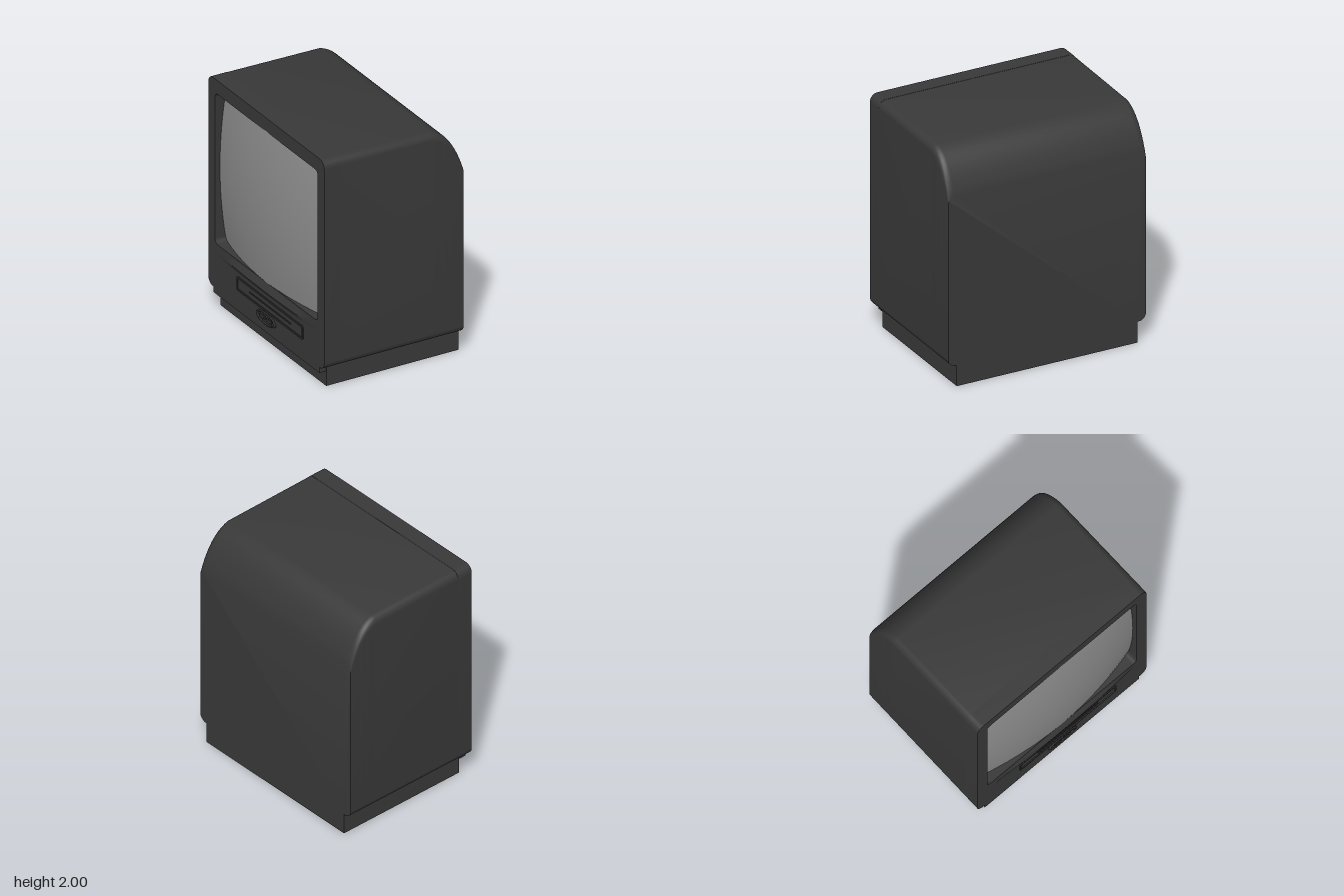
import * as THREE from 'three';
import { toCreasedNormals } from 'three/addons/utils/BufferGeometryUtils.js';

const FRONT = -0.605, BACK = 0.655, HALF = 0.875, BOTTOM = 0.18;
const dark = new THREE.MeshStandardMaterial({ color: 0x383838, side: THREE.DoubleSide });
const trim = new THREE.MeshStandardMaterial({ color: 0x303030 });
const glass = new THREE.MeshStandardMaterial({ color: 0x8c8c8c });

// rounded rectangle outline, used for shapes and holes
function roundRect(target, x0, x1, y0, y1, r) {
  target.absarc(x1 - r, y0 + r, r, -Math.PI / 2, 0);
  target.absarc(x1 - r, y1 - r, r, 0, Math.PI / 2);
  target.absarc(x0 + r, y1 - r, r, Math.PI / 2, Math.PI);
  target.absarc(x0 + r, y0 + r, r, Math.PI, Math.PI * 1.5);
  target.closePath();
  return target;
}

// extrude a shape drawn on the screen side, going inward along +x
function panel(shape, x, depth) {
  const g = new THREE.ExtrudeGeometry(shape, { depth, bevelEnabled: false, curveSegments: 6 });
  g.rotateY(Math.PI / 2).translate(x, 0, 0);
  return toCreasedNormals(g, 0.6);
}

// rows of equally many [x, y, z] points joined into a skin; the last row is capped
function loft(rows, cap) {
  const n = rows[0].length, pos = rows.flat(2), idx = [];
  for (let i = 0; i < rows.length - 1; i++) {
    for (let j = 0; j < n; j++) {
      const a = i * n + j, b = i * n + (j + 1) % n;
      idx.push(a, b, a + n, b, b + n, a + n);
    }
  }
  const last = (rows.length - 1) * n;
  if (cap) for (let j = 1; j < n - 1; j++) idx.push(last, last + j, last + j + 1);
  const g = new THREE.BufferGeometry();
  g.setAttribute('position', new THREE.Float32BufferAttribute(pos, 3));
  g.setIndex(idx);
  return toCreasedNormals(g, 0.6);
}

export function createModel() {
  const group = new THREE.Group();
  const add = (name, geo, mat = dark) => {
    const m = new THREE.Mesh(geo, mat);
    m.name = name;
    group.add(m);
    return m;
  };
  const box = (name, x0, x1, y0, y1, z0, z1, mat) =>
    add(name, new THREE.BoxGeometry(x1 - x0, y1 - y0, z1 - z0)
      .translate((x0 + x1) / 2, (y0 + y1) / 2, (z0 + z1) / 2), mat);

  // cabinet: rounded sections whose top drops in a curve at the rear
  const slope = new THREE.QuadraticBezierCurve(
    new THREE.Vector2(0.38, 1.986), new THREE.Vector2(0.56, 1.94), new THREE.Vector2(BACK, 1.64));
  const tops = [new THREE.Vector2(-0.47, 1.998), ...slope.getPoints(10)];
  const sections = tops.map(({ x, y }) => {
    const s = roundRect(new THREE.Shape(), -HALF, HALF, BOTTOM, y, 0.065);
    const pts = s.getPoints(6);
    if (pts[0].distanceTo(pts[pts.length - 1]) < 1e-6) pts.pop();
    return pts.map(p => [x, p.y, -p.x]);
  });
  add('cabinet', loft(sections, true));

  // front bezel with the screen opening
  const bezel = roundRect(new THREE.Shape(), -HALF, HALF, BOTTOM, 2, 0.065);
  bezel.holes.push(roundRect(new THREE.Path(), -0.775, 0.775, 0.57, 1.88, 0.04));
  add('bezel', panel(bezel, FRONT, 0.14));

  // bulging picture tube
  const screen = new THREE.PlaneGeometry(1.57, 1.33, 12, 12);
  const p = screen.attributes.position;
  for (let i = 0; i < p.count; i++) {
    const u = p.getX(i), v = p.getY(i);
    p.setZ(i, 0.662 - 0.17 * u * u - 0.13 * v * v);
  }
  screen.rotateY(-Math.PI / 2).translate(0, 1.225, 0);
  screen.computeVertexNormals();
  add('screen', screen, glass);

  // bowed ridge below the screen
  const ridge = [];
  for (let i = 0; i <= 16; i++) {
    const z = -0.76 + 1.52 * i / 16, out = 0.026 * (1 - (z / 0.76) ** 2);
    ridge.push([[FRONT + 0.005, 0.568, z], [FRONT - out, 0.5, z], [FRONT + 0.005, 0.45, z]]);
  }
  add('ridge', loft(ridge, false));

  // cassette door: raised frame around a flap with a grip line
  const frame = roundRect(new THREE.Shape(), -0.5, 0.5, 0.31, 0.43, 0.02);
  frame.holes.push(roundRect(new THREE.Path(), -0.485, 0.485, 0.325, 0.415, 0.012));
  add('cassetteFrame', panel(frame, FRONT - 0.008, 0.012), trim).position.z = 0.06;
  box('cassetteGrip', FRONT - 0.006, FRONT + 0.01, 0.365, 0.375, -0.25, 0.37, trim);

  // control ring with buttons
  const ring = new THREE.TorusGeometry(0.1, 0.014, 6, 24);
  ring.scale(1.3, 0.45, 1).rotateY(-Math.PI / 2).translate(FRONT, 0.25, 0);
  add('controlRing', ring, trim);
  for (const z of [-0.05, 0.05]) {
    box('button', FRONT - 0.01, FRONT + 0.01, 0.235, 0.265, z - 0.035, z + 0.035, trim);
  }

  // chin under the bezel and the plinth
  box('chin', FRONT, -0.545, 0.13, 0.2, -0.8, 0.8);
  box('base', -0.542, BACK, 0, 0.2, -0.8, 0.8);
  return group;
}
